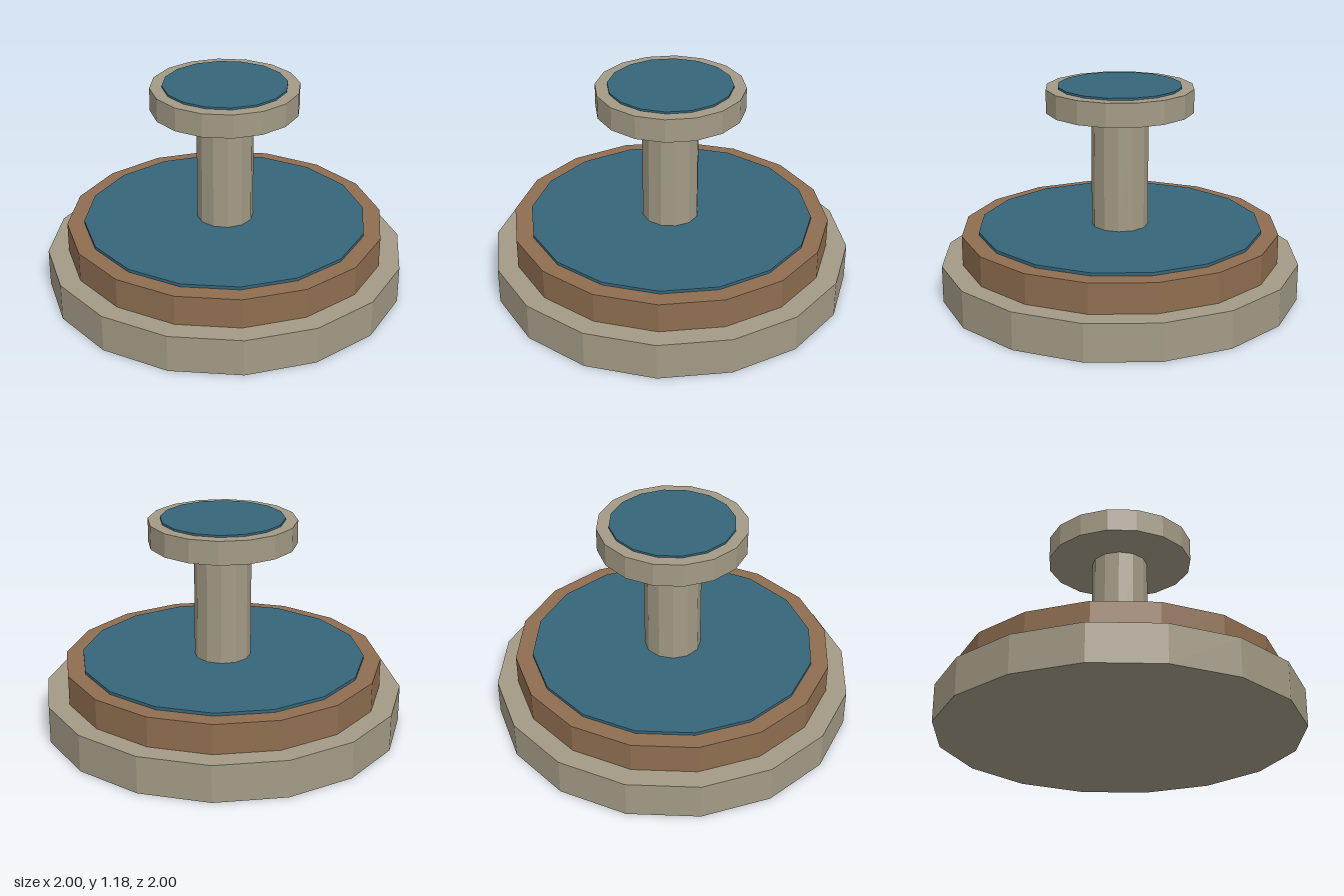
import * as THREE from 'three';

export function createModel() {
  const model = new THREE.Group();
  const material = (color) => new THREE.MeshStandardMaterial({ color, flatShading: true });
  const stone = material(0xa39b86);
  const clay = material(0x8f6e50);
  const water = material(0x35667a);

  // Upright faceted drum between two heights
  function drum(name, radius, bottom, top, sides, mat) {
    const mesh = new THREE.Mesh(new THREE.CylinderGeometry(radius, radius, top - bottom, sides), mat);
    mesh.name = name;
    mesh.position.y = (bottom + top) / 2;
    model.add(mesh);
  }

  // Stepped lower basin
  drum('base', 1, 0, 0.208, 16, stone);
  drum('basin', 0.885, 0.208, 0.375, 16, clay);
  drum('basinWater', 0.79, 0.37, 0.392, 16, water);

  // Column carrying the small upper bowl
  drum('column', 0.157, 0.385, 1.042, 12, stone);
  drum('bowl', 0.407, 1.042, 1.172, 16, stone);
  drum('bowlWater', 0.34, 1.165, 1.183, 16, water);

  return model;
}
